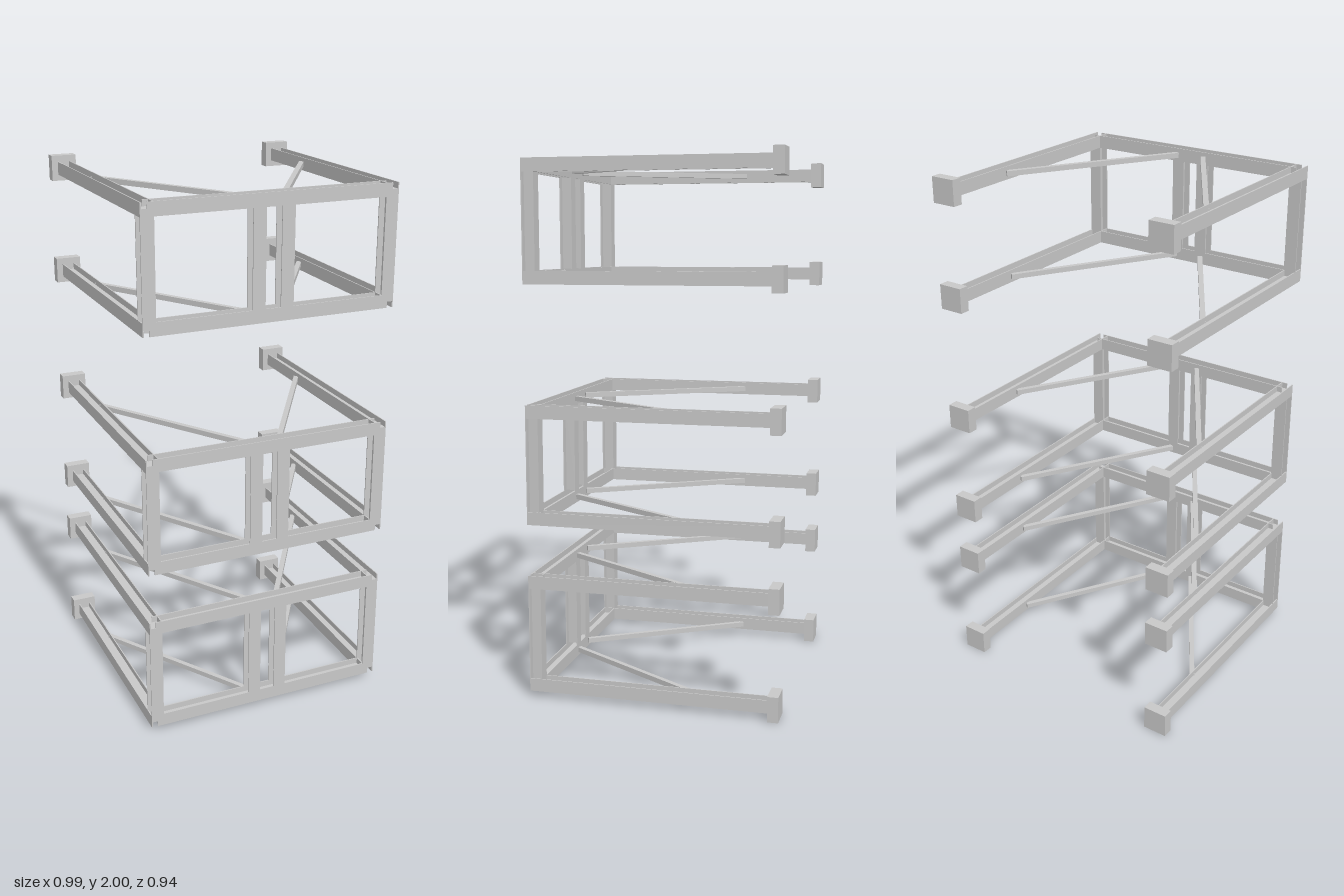
import * as THREE from 'three';

const HALF = 0.024;      // half the beam section
const FLANGE = 0.004;    // flange thickness
const WEB = 0.002;       // half the web thickness
const SIDE = 0.448;      // x of the side nodes
const FRONT = 0.447;     // z of the front nodes
const RISE = 0.394;      // height between the two beam layers of a tier

// H section with its flanges facing local +x and -x
function sectionShape() {
  const f = HALF - FLANGE;
  const points = [
    [HALF, -HALF], [HALF, HALF], [f, HALF], [f, WEB], [-f, WEB], [-f, HALF],
    [-HALF, HALF], [-HALF, -HALF], [-f, -HALF], [-f, -WEB], [f, -WEB], [f, -HALF],
  ];
  return new THREE.Shape(points.map(([x, y]) => new THREE.Vector2(x, y)));
}

export function createModel() {
  const model = new THREE.Group();
  model.name = 'bracketFrames';
  const steel = new THREE.MeshStandardMaterial({ color: 0xc8c8c8 });
  steel.name = 'steel grey';
  const section = sectionShape();

  function add(parent, name, geometry) {
    const mesh = new THREE.Mesh(geometry, steel);
    mesh.name = name;
    parent.add(mesh);
    return mesh;
  }

  // H beam from a to b, flanges facing along the given normal
  function beam(parent, name, a, b, normal) {
    const start = new THREE.Vector3(...a);
    const dir = new THREE.Vector3(...b).sub(start);
    const length = dir.length();
    dir.normalize();
    const x = new THREE.Vector3(...normal);
    const y = new THREE.Vector3().crossVectors(dir, x);
    const geometry = new THREE.ExtrudeGeometry(section, { depth: length, bevelEnabled: false });
    geometry.applyMatrix4(new THREE.Matrix4().makeBasis(x, y, dir).setPosition(start));
    add(parent, name, geometry);
  }

  // Slim level diagonal between two [x, z] points at height y
  function brace(parent, y, [x0, z0], [x1, z1]) {
    const length = Math.hypot(x1 - x0, z1 - z0);
    const mesh = add(parent, 'diagonalBrace', new THREE.BoxGeometry(0.019, 0.019, length));
    mesh.position.set((x0 + x1) / 2, y, (z0 + z1) / 2);
    mesh.rotation.y = Math.atan2(x1 - x0, z1 - z0);
  }

  // Three tiers, each a front frame with arms running back to wall pads
  [['lower', 0.047], ['middle', 0.682], ['upper', 1.559]].forEach(([label, base]) => {
    const tier = new THREE.Group();
    tier.name = label + 'Tier';
    tier.position.y = base;
    model.add(tier);

    for (const y of [0, RISE]) {
      beam(tier, 'frontBeam', [-SIDE, y, FRONT], [SIDE, y, FRONT], [0, 0, 1]);
      for (const s of [-1, 1]) {
        // Arms run through the corner to the front face
        beam(tier, 'sideArm', [s * SIDE, y, FRONT + HALF], [s * SIDE, y, -0.431], [1, 0, 0]);
        brace(tier, y, [s * 0.423, -0.161], [s * 0.056, 0.421]);
        const pad = add(tier, 'wallPad', new THREE.BoxGeometry(0.094, 0.094, 0.04));
        pad.position.set(s * SIDE, y, -0.451);
      }
    }

    // Corner posts reach the beam centres, inner posts stop at the beams
    for (const s of [-1, 1]) {
      beam(tier, 'cornerPost', [s * SIDE, 0, FRONT], [s * SIDE, RISE, FRONT], [0, 0, 1]);
      beam(tier, 'innerPost', [s * 0.053, HALF, FRONT], [s * 0.053, RISE - HALF, FRONT], [0, 0, 1]);
    }
  });
  return model;
}
